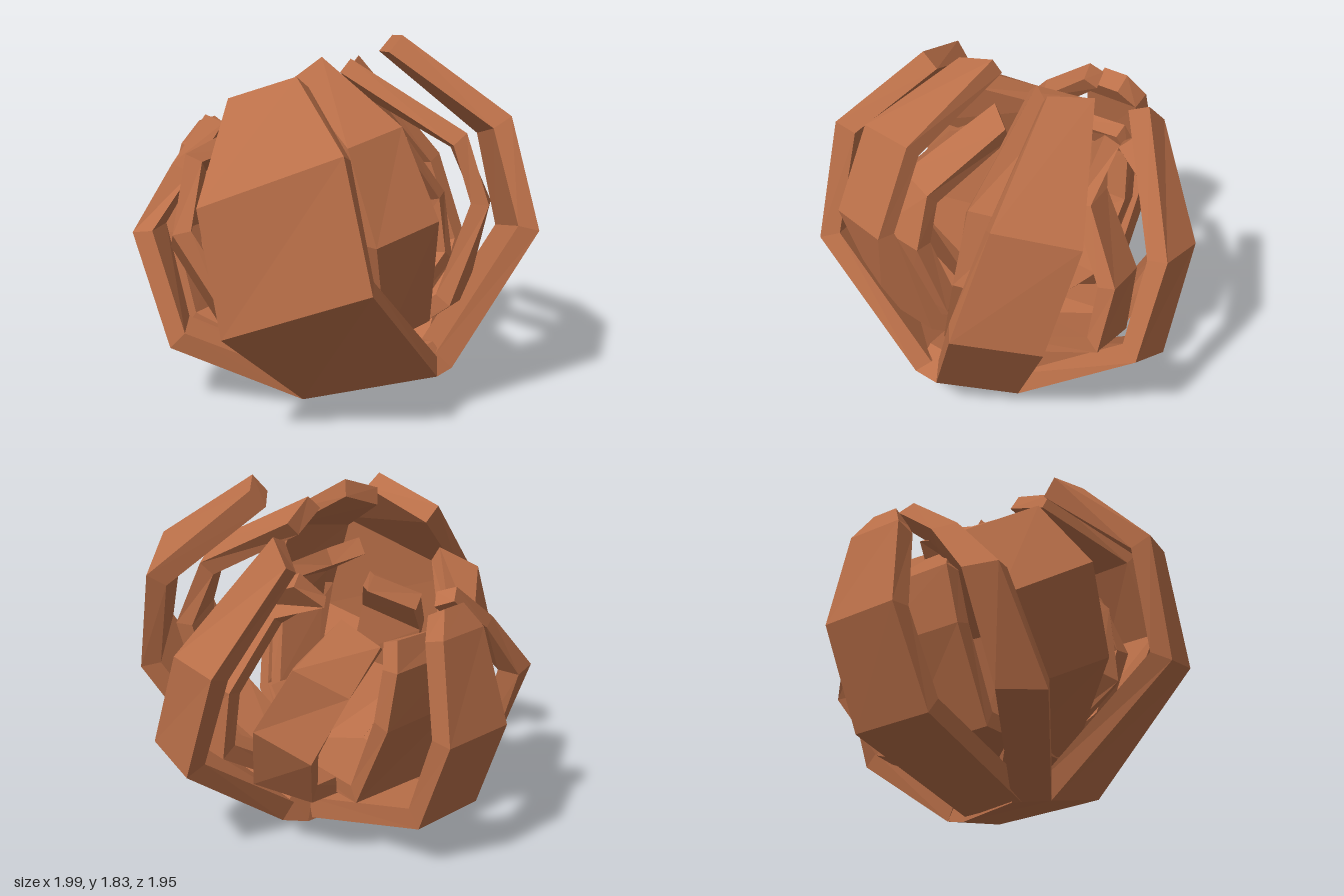
import * as THREE from 'three';
import { ConvexGeometry } from 'three/addons/geometries/ConvexGeometry.js';

const material = new THREE.MeshStandardMaterial({ color: 0xbb7049, flatShading: true });
const V = (p) => new THREE.Vector3(...p);

// Faceted slab: rows of [edge, edge] points on the outer face, thickened towards the middle
function slab(rows, thickness) {
  let outer = rows.map(([a, b]) => [V(a), V(b)]);
  const normal = (i, side) => {
    const along = outer[Math.min(i + 1, outer.length - 1)][side].clone()
      .sub(outer[Math.max(i - 1, 0)][side]).normalize();
    return outer[i][1].clone().sub(outer[i][0]).cross(along).normalize();
  };
  // Keep the outer face turned away from the centre
  if (normal(1, 0).dot(outer[1][0].clone().sub(new THREE.Vector3(0, 0.8, 0))) < 0)
    outer = outer.map(([a, b]) => [b, a]);
  const rings = outer.map(([a, b], i) => [
    a, b,
    b.clone().addScaledVector(normal(i, 1), -thickness),
    a.clone().addScaledVector(normal(i, 0), -thickness),
  ]);
  const pos = [];
  const quad = (a, b, c, d) => [a, b, c, a, c, d].forEach((p) => pos.push(p.x, p.y, p.z));
  for (let i = 0; i < rings.length - 1; i++)
    for (let k = 0; k < 4; k++) {
      const n = (k + 1) % 4;
      quad(rings[i][k], rings[i][n], rings[i + 1][n], rings[i + 1][k]);
    }
  const end = rings[rings.length - 1], start = rings[0];
  quad(end[0], end[1], end[2], end[3]);
  quad(start[3], start[2], start[1], start[0]);
  const geometry = new THREE.BufferGeometry();
  geometry.setAttribute('position', new THREE.Float32BufferAttribute(pos, 3));
  geometry.computeVertexNormals();
  return geometry;
}

// Outer ring of petals, base to tip
const outerPetals = {
  frontPetal: [
    [[0.05, 0.02, 0.28], [0.72, 0.24, 0.07]],
    [[0.1, 0.57, 0.97], [0.74, 0.83, 0.67]],
    [[-0.03, 1.18, 0.97], [0.57, 1.45, 0.66]],
    [[-0.2, 1.6, 0.53], [0.15, 1.73, 0.45]],
  ],
  backLeftPetal: [
    [[0.72, 0.24, -0.07], [0.43, 0.125, -0.37]],
    [[0.995, 0.92, -0.42], [0.695, 0.8, -0.73]],
    [[0.78, 1.46, -0.49], [0.51, 1.345, -0.8]],
    [[0.21, 1.83, -0.36], [0.05, 1.8, -0.51]],
  ],
  backPetal: [
    [[0.43, 0.125, -0.37], [0.02, 0.04, -0.36]],
    [[0.27, 0.585, -0.965], [0.02, 0.47, -0.965]],
    [[0.07, 1.08, -0.975], [-0.195, 1.03, -0.965]],
    [[-0.24, 1.65, -0.62], [-0.35, 1.53, -0.64]],
  ],
  rightPetal: [
    [[-0.03, 0.02, -0.2], [-0.03, 0.02, 0.16]],
    [[-0.79, 0.23, -0.2], [-0.77, 0.23, 0.24]],
    [[-0.995, 0.72, -0.22], [-0.98, 0.72, 0.2]],
    [[-0.9, 1.21, -0.18], [-0.88, 1.21, 0.12]],
    [[-0.83, 1.33, -0.1], [-0.82, 1.33, 0.04]],
  ],
  frontRightPetal: [
    [[-0.05, 0.02, 0.12], [0.05, 0.02, 0.28]],
    [[-0.62, 0.32, 0.5], [-0.48, 0.31, 0.69]],
    [[-0.82, 0.86, 0.47], [-0.76, 0.86, 0.64]],
    [[-0.79, 1.15, 0.25], [-0.73, 1.17, 0.36]],
    [[-0.78, 1.33, 0.02], [-0.74, 1.38, 0.08]],
  ],
};

// Inner ring of petals
const innerPetals = {
  innerLeftPetal: [
    [[0.2, 0.2, 0.12], [0.2, 0.2, -0.15]],
    [[0.62, 0.5, 0.38], [0.64, 0.5, 0.02]],
    [[0.69, 1.02, 0.57], [0.79, 1.08, 0.2]],
    [[0.5, 1.45, 0.53], [0.57, 1.5, 0.19]],
    [[0.03, 1.69, 0.32], [0.04, 1.765, 0.1]],
  ],
  // Second layer tucked behind the left petal
  innermostLeftPetal: [
    [[0.2, 0.22, 0.15], [0.2, 0.22, -0.06]],
    [[0.52, 0.55, 0.28], [0.53, 0.55, 0.01]],
    [[0.6, 0.95, 0.38], [0.62, 0.95, 0.11]],
    [[0.46, 1.24, 0.32], [0.52, 1.22, 0.12]],
    [[-0.02, 1.47, 0.14], [0.07, 1.42, 0]],
  ],
  innerBackLeftPetal: [
    [[0.25, 0.2, 0], [0.2, 0.2, -0.25]],
    [[0.68, 0.55, -0.1], [0.6, 0.5, -0.4]],
    [[0.79, 1.05, -0.27], [0.66, 1.0, -0.52]],
    [[0.66, 1.4, -0.26], [0.52, 1.34, -0.46]],
    [[0.03, 1.72, -0.16], [0.05, 1.6, -0.28]],
  ],
  innerBackPetal: [
    [[0.3, 0.2, -0.15], [0, 0.18, -0.2]],
    [[0.3, 0.55, -0.76], [0.02, 0.5, -0.74]],
    [[0.22, 0.92, -0.79], [-0.04, 0.86, -0.74]],
    [[0.12, 1.25, -0.56], [-0.1, 1.2, -0.5]],
    [[-0.22, 1.38, -0.48], [-0.3, 1.27, -0.36]],
  ],
  innerBackRightPetal: [
    [[0.1, 0.18, -0.2], [-0.15, 0.18, 0]],
    [[-0.1, 0.38, -0.65], [-0.36, 0.32, -0.5]],
    [[-0.26, 0.74, -0.78], [-0.51, 0.61, -0.64]],
    [[-0.41, 1.06, -0.66], [-0.61, 0.93, -0.49]],
    [[-0.46, 1.26, -0.4], [-0.64, 1.15, -0.32]],
  ],
  innerRightPetal: [
    [[0.38, 0.24, -0.14], [0.38, 0.24, 0.28]],
    [[-0.42, 0.26, -0.26], [-0.42, 0.26, 0.28]],
    [[-0.66, 0.72, -0.29], [-0.62, 0.72, 0.27]],
    [[-0.7, 1.02, -0.27], [-0.67, 1.02, 0.24]],
    [[-0.65, 1.16, -0.22], [-0.62, 1.14, 0.2]],
  ],
  innerFrontRightPetal: [
    [[-0.1, 0.2, 0.1], [0.16, 0.27, 0.34]],
    [[-0.4, 0.4, 0.42], [-0.08, 0.59, 0.74]],
    [[-0.61, 0.78, 0.52], [-0.31, 0.97, 0.83]],
    [[-0.73, 1.13, 0.22], [-0.42, 1.31, 0.6]],
    [[-0.7, 1.18, 0.09], [-0.28, 1.41, 0.46]],
  ],
  innerFrontPetal: [
    [[0.05, 0.2, 0.15], [0.25, 0.22, 0]],
    [[0.1, 0.55, 0.66], [0.36, 0.66, 0.46]],
    [[0.02, 0.9, 0.68], [0.28, 1.02, 0.5]],
    [[-0.1, 1.1, 0.52], [0.12, 1.22, 0.36]],
    [[-0.24, 1.17, 0.38], [-0.07, 1.27, 0.2]],
  ],
};

export function createModel() {
  const model = new THREE.Group();
  const add = (name, geometry) => {
    const mesh = new THREE.Mesh(geometry, material);
    mesh.name = name;
    model.add(mesh);
  };
  for (const [name, rows] of Object.entries(outerPetals)) add(name, slab(rows, 0.11));
  for (const [name, rows] of Object.entries(innerPetals)) add(name, slab(rows, 0.09));

  // Tilted base plate joining the petals
  const rim = [[0.05, 0.02, 0.28], [0.72, 0.24, 0.07], [0.72, 0.24, -0.07],
    [0.43, 0.125, -0.37], [0.02, 0.04, -0.36], [-0.02, 0, -0.22], [-0.05, 0.02, 0.12]];
  const raised = rim.map(([x, y, z]) => [x * 0.85, y + 0.12, z * 0.85]);
  add('base', new ConvexGeometry([...rim, ...raised].map(V)));
  return model;
}
